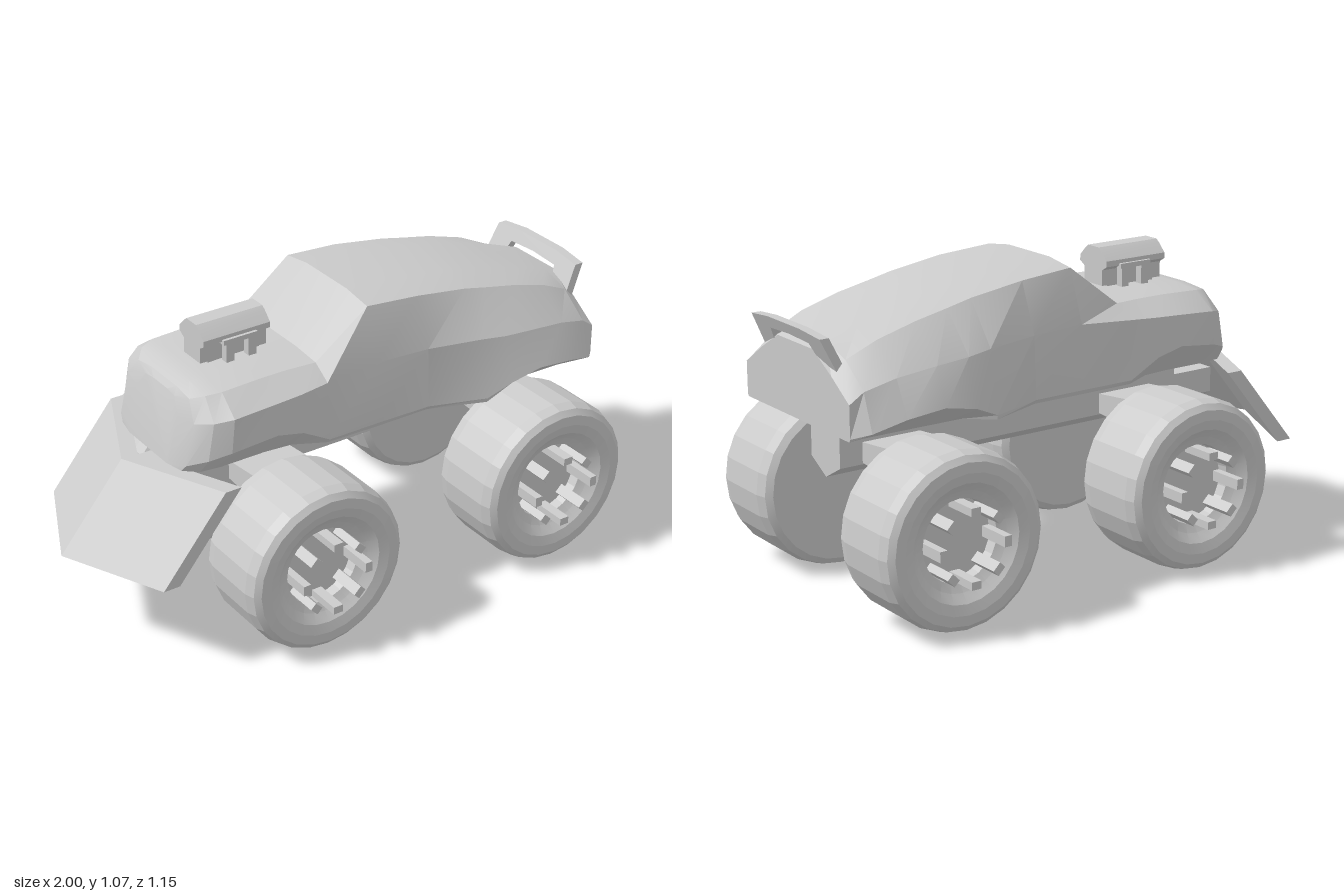
import * as THREE from 'three';
import { toCreasedNormals } from 'three/addons/utils/BufferGeometryUtils.js';

const grey = new THREE.MeshStandardMaterial({ color: 0xcccccc });

function part(parent, name, geometry, crease = 0.5) {
  const mesh = new THREE.Mesh(toCreasedNormals(geometry, crease), grey);
  mesh.name = name;
  parent.add(mesh);
  return mesh;
}

function box(x0, x1, y0, y1, z0, z1) {
  return new THREE.BoxGeometry(x1 - x0, y1 - y0, z1 - z0)
    .translate((x0 + x1) / 2, (y0 + y1) / 2, (z0 + z1) / 2);
}

// Prism along x from x0 to x1; the half outline [z, y] is mirrored across z = 0
function prism(half, x0, x1) {
  const mirrored = half.filter(([z]) => z > 0).reverse().map(([z, y]) => [-z, y]);
  const shape = new THREE.Shape([...half, ...mirrored].map(([z, y]) => new THREE.Vector2(z, y)));
  return new THREE.ExtrudeGeometry(shape, { depth: x1 - x0, bevelEnabled: false })
    .rotateY(Math.PI / 2).translate(x0, 0, 0);
}

// Closed skin over equal rings of [x, y, z], clockwise as seen from the last ring's end
function loft(rings) {
  const n = rings[0].length, pos = rings.flat(2), index = [];
  for (let i = 0; i < rings.length - 1; i++) {
    for (let j = 0; j < n; j++) {
      const a = i * n + j, b = i * n + (j + 1) % n;
      index.push(a, a + n, b + n, a, b + n, b);
    }
  }
  const last = (rings.length - 1) * n;
  for (let j = 1; j < n - 1; j++) {
    index.push(0, j, j + 1, last, last + j + 1, last + j);
  }
  const g = new THREE.BufferGeometry();
  g.setAttribute('position', new THREE.Float32BufferAttribute(pos, 3));
  g.setIndex(index);
  return g;
}

// Body shell: x, bottom z, arch z, arch y, belt z, belt y, roof z, roof y, crown y
const BODY = [
  [-0.66, 0.12, 0.13, 0.65, 0.13, 0.8, 0.09, 0.855, 0.86],
  [-0.645, 0.19, 0.21, 0.66, 0.21, 0.805, 0.16, 0.87, 0.88],
  [-0.6, 0.23, 0.27, 0.69, 0.27, 0.82, 0.2, 0.887, 0.897],
  [-0.53, 0.24, 0.305, 0.715, 0.305, 0.835, 0.22, 0.895, 0.905],
  [-0.36, 0.24, 0.325, 0.738, 0.31, 0.845, 0.22, 0.9, 0.91],
  [-0.26, 0.25, 0.325, 0.715, 0.31, 0.85, 0.22, 0.9, 0.91],
  [-0.15, 0.305, 0.315, 0.65, 0.3, 0.855, 0.23, 0.9, 0.91],
  [0.05, 0.31, 0.315, 0.65, 0.3, 0.87, 0.235, 1.05, 1.067],
  [0.25, 0.31, 0.32, 0.65, 0.31, 0.865, 0.242, 1.035, 1.053],
  [0.45, 0.385, 0.388, 0.65, 0.35, 0.86, 0.24, 1.005, 1.025],
  [0.54, 0.31, 0.405, 0.69, 0.36, 0.85, 0.24, 0.985, 1.008],
  [0.66, 0.31, 0.41, 0.715, 0.36, 0.84, 0.24, 0.96, 0.98],
  [0.8, 0.31, 0.405, 0.7, 0.345, 0.82, 0.235, 0.92, 0.94],
  [0.91, 0.31, 0.375, 0.665, 0.33, 0.79, 0.225, 0.87, 0.905],
  [0.96, 0.32, 0.325, 0.645, 0.325, 0.755, 0.22, 0.825, 0.888],
];

function bodyShell() {
  return loft(BODY.map(([x, zb, za, ya, zc, yc, zr, yr, yt], i) => {
    const half = [[zb, 0.635], [za, ya], [zc, yc], [zr, yr], [zr * 0.5, yt]];
    const ring = [...half, ...half.slice().reverse().map(([z, y]) => [-z, y])];
    // the nose leans backward
    const lean = [0.25, 0.23, 0.18, 0.1][i] || 0;
    return ring.map(([z, y]) => [x + lean * (y - 0.635), y, z]);
  }));
}

function makeWheel() {
  const wheel = new THREE.Group();
  wheel.name = 'wheel';
  // Tyre and dished rim, profile as radius and distance from the model's centre line
  const profile = [[0, 0.228], [0.268, 0.228], [0.29, 0.245], [0.3, 0.285], [0.3, 0.48], [0.29, 0.517],
    [0.27, 0.533], [0.235, 0.535], [0.2, 0.525], [0.17, 0.5], [0.14, 0.485], [0.135, 0.45], [0, 0.45]];
  part(wheel, 'tyre', new THREE.LatheGeometry(profile.map((p) => new THREE.Vector2(...p)), 24)
    .rotateX(Math.PI / 2), 0.24);
  for (let i = 0; i < 8; i++) {
    part(wheel, 'wheelLug', box(0.108, 0.135, -0.018, 0.018, 0.44, 0.577)
      .rotateZ(i * Math.PI / 4));
  }
  return wheel;
}

export function createModel() {
  const model = new THREE.Group();
  model.name = 'monsterTruck';

  part(model, 'body', bodyShell(), 0.35);

  // Chassis: keeled beam, mounting blocks and axles
  part(model, 'chassisBeam', prism([[0, 0.42], [0.09, 0.47], [0.09, 0.56], [0, 0.56]], -0.69, 0.86));
  const mounts = [[-0.52, -0.07, -0.295], [0.49, 0.86, 0.665]];
  for (const [x0, x1, axleX] of mounts) {
    part(model, 'bodyMount', box(x0, x1, 0.5, 0.64, -0.09, 0.09));
    part(model, 'axle', prism([[0, 0.47], [0.09, 0.475], [0.24, 0.465], [0.24, 0.56], [0.09, 0.545], [0, 0.545]],
      axleX - 0.11, axleX + 0.11));
    for (const side of [1, -1]) {
      const wheel = makeWheel();
      wheel.position.set(axleX, 0.3, 0);
      if (side < 0) wheel.rotation.y = Math.PI;
      model.add(wheel);
    }
  }

  // Plough: slanted V blade swept across z
  part(model, 'plough', loft([-0.37, 0, 0.37].map((z) => {
    const sweep = Math.abs(z) * 0.46;
    return [[-0.76, 0.625], [-0.7, 0.625], [-0.94, 0.335], [-1, 0.335]]
      .map(([x, y]) => [x + sweep, y, z]);
  })), 0.1);

  // Engine blower on the bonnet, with a bracket on each side
  const blower = new THREE.Group();
  blower.name = 'blower';
  model.add(blower);
  part(blower, 'blowerCasing', prism([[0, 0.915], [0.05, 0.915], [0.05, 0.97], [0.075, 0.985], [0.075, 1.005],
    [0.045, 1.035], [0.03, 1.047], [0, 1.047]], -0.48, -0.225));
  for (const z of [-0.07, 0.07]) {
    part(blower, 'bracketBar', box(-0.41, -0.28, 0.975, 0.992, z - 0.016, z + 0.016));
    for (const x of [-0.385, -0.3]) {
      part(blower, 'bracketLeg', box(x - 0.015, x + 0.015, 0.89, 0.985, z - 0.014, z + 0.014));
    }
  }
  part(blower, 'blowerBase', box(-0.45, -0.25, 0.89, 0.92, -0.045, 0.045));

  // Rear spoiler: arch leaning backward
  const arch = prism([[0, 0.918], [0.12, 0.912], [0.15, 0.82], [0.228, 0.82], [0.215, 0.945],
    [0.1, 0.957], [0, 0.957]], 0.912, 0.945);
  const p = arch.attributes.position;
  for (let i = 0; i < p.count; i++) p.setX(i, p.getX(i) + (p.getY(i) - 0.84) * 0.47);
  part(model, 'spoiler', arch, 0.3);

  return model;
}
